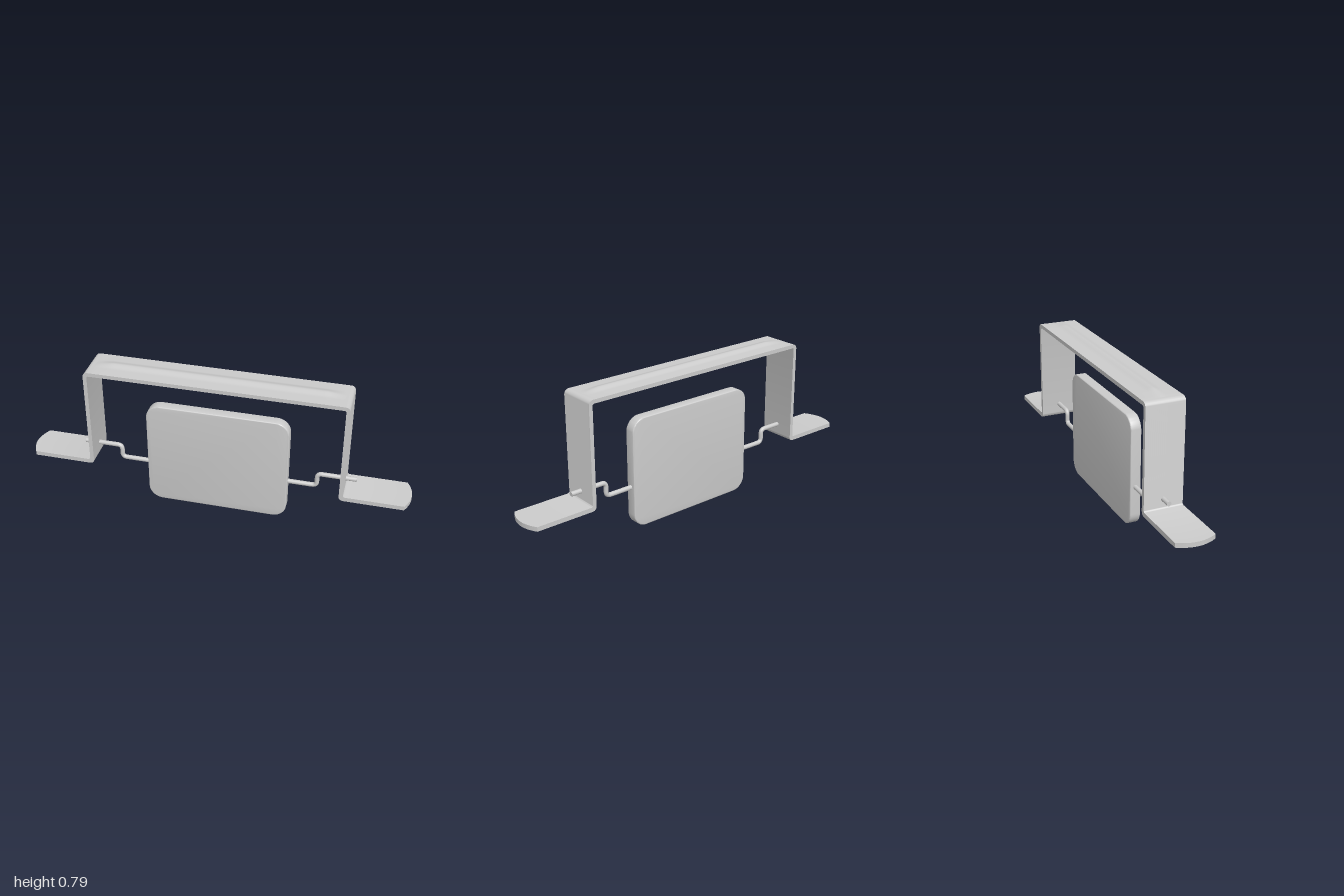
import * as THREE from 'three';
import { toCreasedNormals } from 'three/addons/utils/BufferGeometryUtils.js';

const material = new THREE.MeshStandardMaterial({ color: 0xcccccc });

function part(name, geometry) {
  const mesh = new THREE.Mesh(geometry, material);
  mesh.name = name;
  return mesh;
}

// Closed shape from [x, y, cornerRadius] points
function roundedShape(points) {
  const shape = new THREE.Shape();
  const n = points.length;
  points.forEach(([x, y, r], i) => {
    const p = new THREE.Vector2(x, y);
    const towards = ([qx, qy]) => new THREE.Vector2(qx, qy).sub(p).setLength(r).add(p);
    const a = r ? towards(points[(i + n - 1) % n]) : p;
    const b = r ? towards(points[(i + 1) % n]) : p;
    if (i === 0) shape.moveTo(a.x, a.y);
    else shape.lineTo(a.x, a.y);
    if (r) {
      // cubic approximation of a quarter circle
      const c = a.clone().lerp(p, 0.552), d = b.clone().lerp(p, 0.552);
      shape.bezierCurveTo(c.x, c.y, d.x, d.y, b.x, b.y);
    }
  });
  shape.closePath();
  return shape;
}

// Bent strip: two feet, two legs and a top bar, with bowed foot ends
function bracketGeometry() {
  const half = [
    [0.645, 0.757, 0.01], [0.645, 0.222, 0.022], [1, 0.222, 0],
    [1, 0.245, 0], [0.665, 0.245, 0.01], [0.665, 0.777, 0.025],
  ];
  const mirrored = half.map(([x, y, r]) => [-x, y, r]).reverse();
  const geometry = new THREE.ExtrudeGeometry(roundedShape([...half, ...mirrored]), {
    depth: 0.2, steps: 20, bevelEnabled: false, curveSegments: 6,
  });
  geometry.translate(0, 0, -0.1);
  const pos = geometry.attributes.position;
  for (let i = 0; i < pos.count; i++) {
    const x = pos.getX(i), z = pos.getZ(i);
    if (Math.abs(x) > 0.9) pos.setX(i, x - Math.sign(x) * 0.03 * (z / 0.1) ** 2);
  }
  return toCreasedNormals(geometry, 0.6);
}

// Softly crowned stiffening rib pressed along the top bar
function ribGeometry() {
  const geometry = new THREE.PlaneGeometry(1.27, 0.2, 80, 40);
  geometry.rotateX(-Math.PI / 2);
  const pos = geometry.attributes.position;
  for (let i = 0; i < pos.count; i++) {
    const x = Math.abs(pos.getX(i)), z = Math.abs(pos.getZ(i));
    const crown = 0.005 * (1 - z / 0.1);
    const ridge = 0.008 * (1 - THREE.MathUtils.smoothstep(z, 0, 0.04));
    const fade = THREE.MathUtils.clamp((0.63 - x) / 0.09, 0, 1);
    pos.setY(i, 0.777 + (crown + ridge) * fade - (fade === 0 ? 0.001 : 0));
  }
  geometry.computeVertexNormals();
  return geometry;
}

// Cranked wire from the panel out through the bracket leg
function wire(side) {
  const v = (x, y) => new THREE.Vector3(side * x, y, 0);
  const path = new THREE.CurvePath();
  path.add(new THREE.LineCurve3(v(0.35, 0.22), v(0.495, 0.22)));
  path.add(new THREE.QuadraticBezierCurve3(v(0.495, 0.22), v(0.52, 0.22), v(0.52, 0.245)));
  path.add(new THREE.LineCurve3(v(0.52, 0.245), v(0.52, 0.268)));
  path.add(new THREE.QuadraticBezierCurve3(v(0.52, 0.268), v(0.52, 0.293), v(0.545, 0.293)));
  path.add(new THREE.LineCurve3(v(0.545, 0.293), v(0.72, 0.293)));
  const group = new THREE.Group();
  group.name = side > 0 ? 'leftWire' : 'rightWire';
  group.add(part('wireRod', new THREE.TubeGeometry(path, 80, 0.012, 16)));
  const cap = part('wireEnd', new THREE.CircleGeometry(0.012, 16));
  cap.position.copy(v(0.72, 0.293));
  cap.rotation.y = side * Math.PI / 2;
  group.add(cap);
  return group;
}

// Hanging panel with rounded corners and slightly softened edges
function panelGeometry() {
  const bevel = 0.005, w = 0.371 - bevel, r = 0.068;
  const y0 = bevel, y1 = 0.583 - bevel;
  const shape = roundedShape([[-w, y0, r], [w, y0, r], [w, y1, r], [-w, y1, r]]);
  const depth = 0.056 - 2 * bevel;
  const geometry = new THREE.ExtrudeGeometry(shape, {
    depth, bevelSize: bevel, bevelThickness: bevel, bevelSegments: 3, curveSegments: 12,
  });
  geometry.translate(0, 0, -depth / 2);
  return toCreasedNormals(geometry, 0.6);
}

export function createModel() {
  const model = new THREE.Group();
  model.name = 'hangingPanelBracket';
  model.add(part('bracket', bracketGeometry()));
  model.add(part('topRib', ribGeometry()));
  model.add(part('panel', panelGeometry()));
  for (const side of [-1, 1]) model.add(wire(side));
  return model;
}
